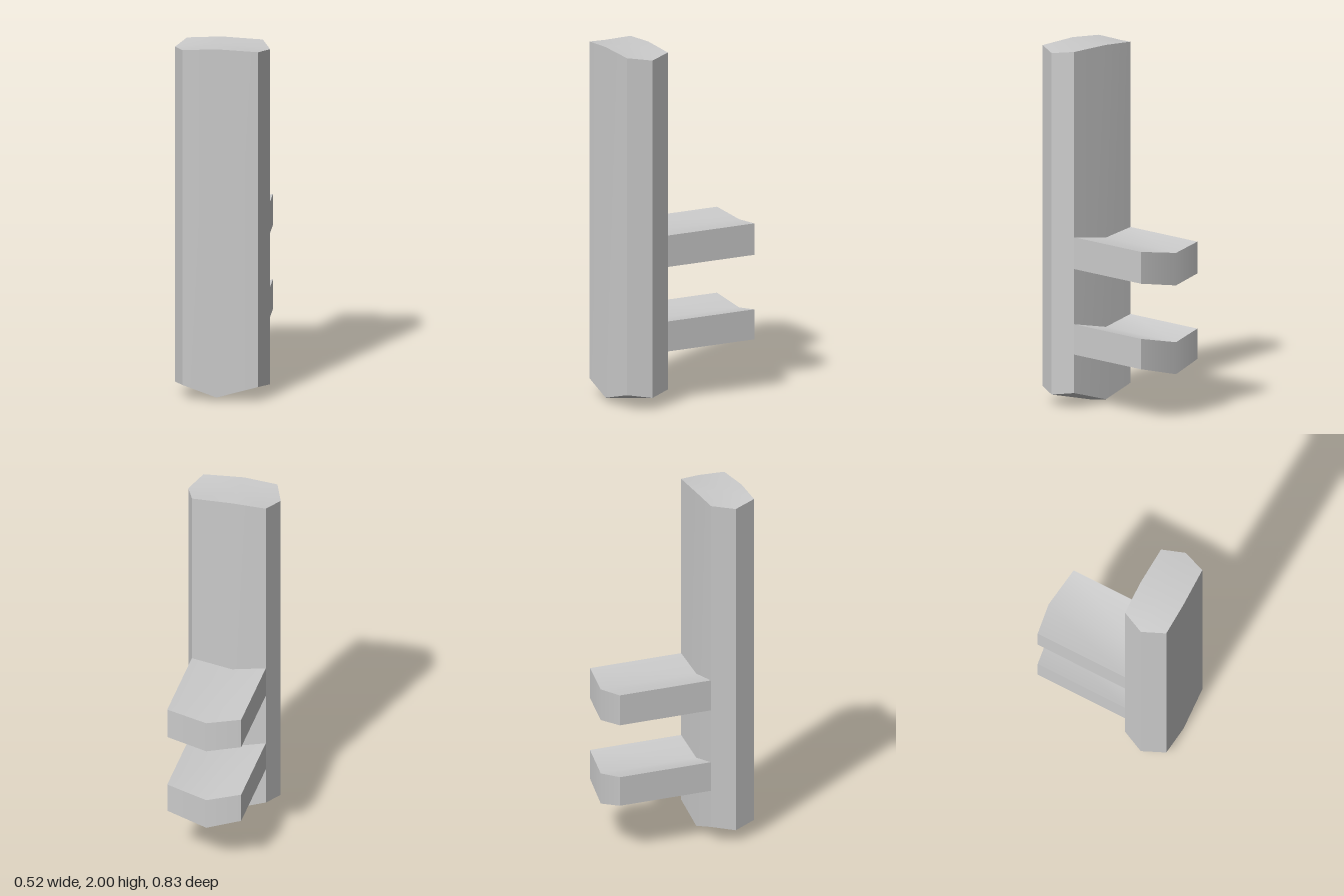
import * as THREE from 'three';
import { toCreasedNormals } from 'three/addons/utils/BufferGeometryUtils.js';

const material = new THREE.MeshStandardMaterial({ color: 0xcccccc });
const MID = -0.02; // x of the slightly off-centre ridge

// Solid between two matching rings (counterclockwise seen from end b), capped by fans.
function loft(name, a, centreA, b, centreB) {
  const pos = [];
  const tri = (...points) => points.forEach((p) => pos.push(...p));
  a.forEach((_, i) => {
    const j = (i + 1) % a.length;
    tri(a[i], a[j], b[j]);
    tri(a[i], b[j], b[i]);
    tri(centreA, a[j], a[i]);
    tri(centreB, b[i], b[j]);
  });
  const geometry = new THREE.BufferGeometry();
  geometry.setAttribute('position', new THREE.Float32BufferAttribute(pos, 3));
  const mesh = new THREE.Mesh(toCreasedNormals(geometry, 0.5), material);
  mesh.name = name;
  return mesh;
}

// Upright board: plan outline as [x, z, bottom y, top y]
function board() {
  const outline = [
    [0.26, 0.28, 0.07, 1.97],
    [0.208, 0.155, 0.09, 1.988],
    [MID, 0.148, 0.025, 1.997],
    [-0.208, 0.155, 0.09, 1.988],
    [-0.26, 0.28, 0.07, 1.97],
    [-0.208, 0.41, 0.09, 1.988],
    [MID, 0.416, 0.025, 2],
    [0.208, 0.41, 0.09, 1.988],
  ];
  return loft('uprightBoard',
    outline.map(([x, z, y]) => [x, y, z]), [MID, 0.005, 0.28],
    outline.map(([x, z, , y]) => [x, y, z]), [MID, 1.995, 0.28]);
}

// Shelf with a shallow V section and a pointed rear edge
function shelf(name, sideTop, midTop, sideBottom, midBottom) {
  const section = [
    [0.208, sideBottom, -0.385],
    [0.208, sideTop, -0.385],
    [MID, midTop, -0.418],
    [-0.208, sideTop, -0.385],
    [-0.208, sideBottom, -0.385],
    [MID, midBottom, -0.418],
  ];
  const y = (midTop + midBottom) / 2;
  return loft(name,
    section, [MID, y, -0.418],
    section.map(([px, py]) => [px, py, 0.158]), [MID, y, 0.158]);
}

export function createModel() {
  const group = new THREE.Group();
  group.name = 'boardWithShelves';
  group.add(
    board(),
    shelf('upperShelf', 0.957, 0.925, 0.78, 0.744),
    shelf('lowerShelf', 0.473, 0.428, 0.304, 0.25),
  );
  return group;
}
